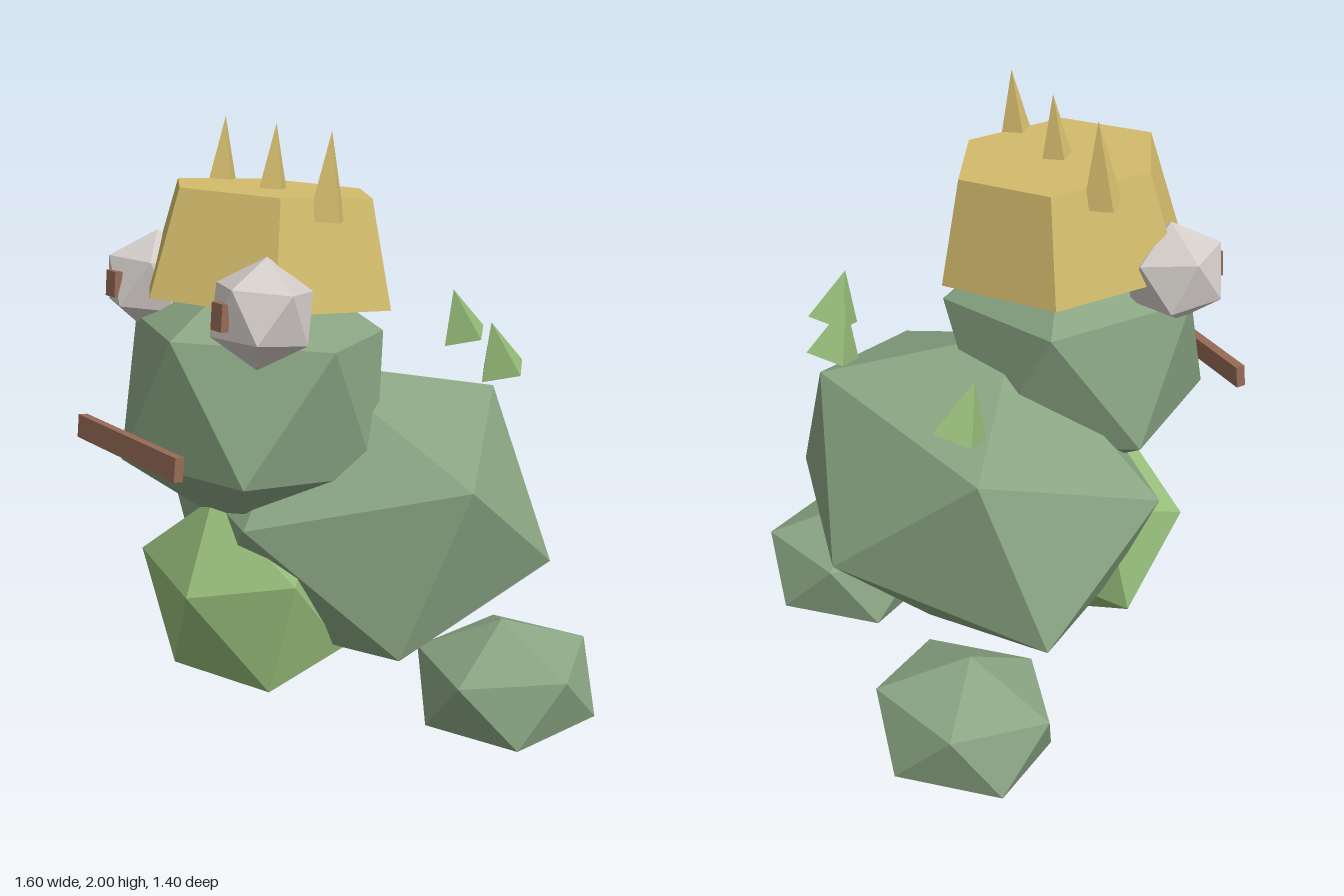
import * as THREE from 'three';

const mat = (name, color) => {
  const m = new THREE.MeshStandardMaterial({ color, flatShading: true });
  m.name = name;
  return m;
};

export function createModel() {
  const skin = mat('sage green', 0x8aa583);
  const light = mat('light green', 0x94ba78);
  const gold = mat('gold', 0xd4bc6c);
  const pale = mat('pale grey', 0xd2ccc8);
  const brown = mat('brown', 0x966b55);

  const model = new THREE.Group();
  model.name = 'crownedFrog';

  function add(name, geometry, material, position, tilt = 0, parent = model) {
    const mesh = new THREE.Mesh(geometry, material);
    mesh.name = name;
    mesh.position.set(...position);
    mesh.rotation.x = tilt;
    parent.add(mesh);
    return mesh;
  }

  // Icosahedron standing on a corner, with one upper-ring corner towards +x
  function stone(sx, sy, sz) {
    return new THREE.IcosahedronGeometry(1, 0)
      .rotateX(-(Math.PI / 2 - Math.atan2(1, (1 + Math.sqrt(5)) / 2)))
      .rotateY(Math.PI / 2)
      .scale(sx, sy, sz);
  }

  // Faceted body, belly and head
  add('body', stone(0.786, 0.515, 0.606), skin, [0, 0.75, -0.14], 0.31);
  add('belly', stone(0.42, 0.363, 0.277), light, [0, 0.507, 0.295], 0.28);
  add('head', stone(0.46, 0.46, 0.46), skin, [0, 1.17, 0.235], -0.08);

  // Feet share one orientation
  for (const [name, x] of [['leftFoot', 0.505], ['rightFoot', -0.505]]) {
    add(name, stone(0.33, 0.22, 0.313), skin, [x, 0.222, -0.395], 0.1);
  }

  // Eyes and pupils, turned outwards on each side
  for (const [side, s] of [['left', 1], ['right', -1]]) {
    const eye = stone(0.165, 0.165, 0.165);
    if (s < 0) eye.rotateY(Math.PI);
    add(side + 'Eye', eye, pale, [s * 0.31, 1.497, 0.408], -0.12);
    add(side + 'Pupil', new THREE.BoxGeometry(0.056, 0.08, 0.025), brown, [s * 0.31, 1.505, 0.549], -0.08);
  }

  // Mouth bar
  add('mouth', new THREE.BoxGeometry(0.59, 0.072, 0.03), brown, [0, 1.073, 0.685], -0.1);

  // Six-sided crown with three points
  add('crown', new THREE.CylinderGeometry(0.33, 0.416, 0.326, 6), gold, [0, 1.643, 0.173], -0.08);
  for (const x of [-0.287, 0, 0.287]) {
    add('crownPoint', new THREE.ConeGeometry(0.066, 0.26, 4), gold, [x, 1.87, 0.155], -0.08);
  }

  // Back spikes
  for (const p of [[-0.5, 1.29, -0.372], [0.05, 1.343, -0.548], [0.38, 1.304, -0.428]]) {
    add('backSpike', new THREE.ConeGeometry(0.087, 0.17, 4), light, p, 0.3);
  }

  return model;
}
